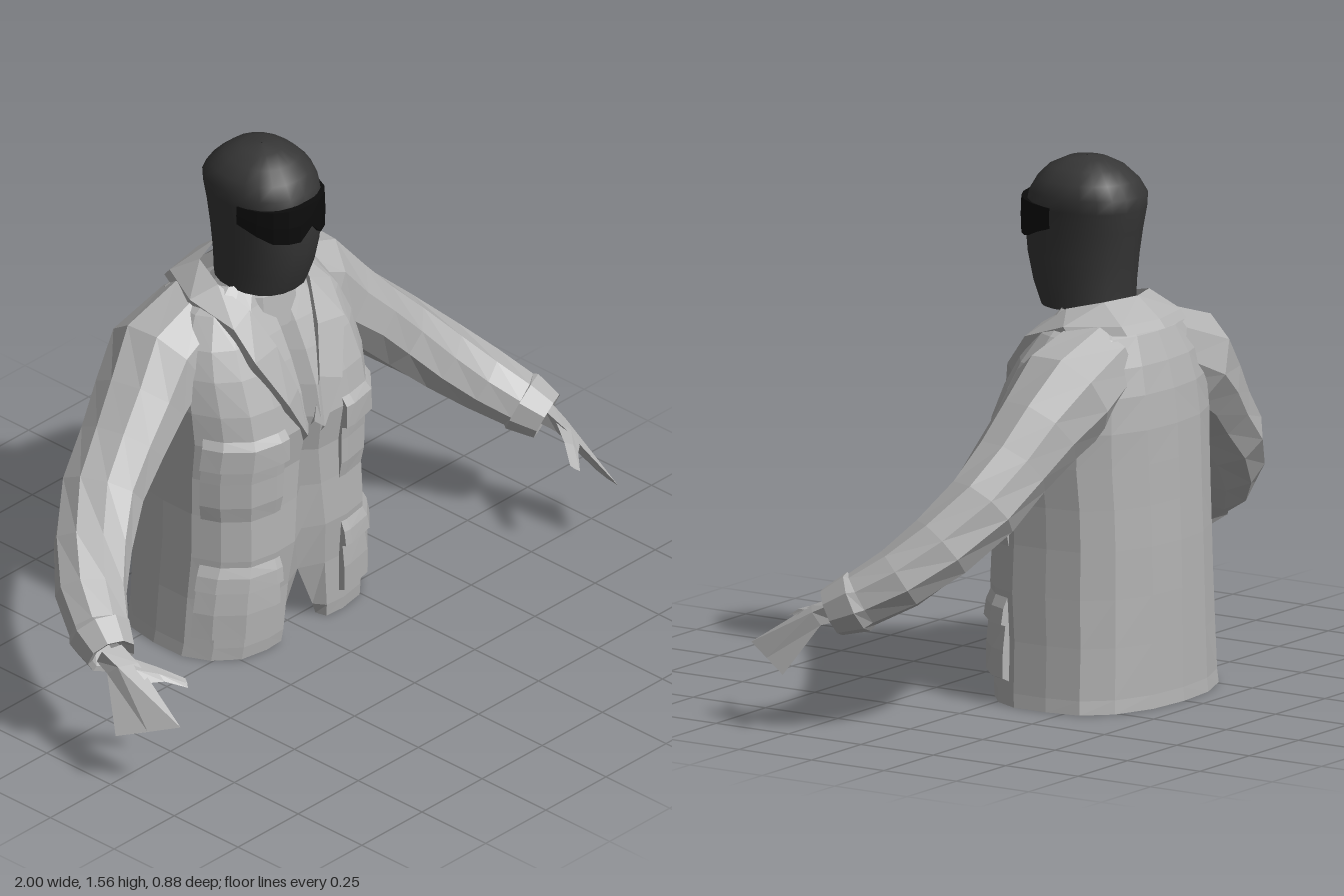
import * as THREE from 'three';

const jacketGrey = new THREE.MeshStandardMaterial({ color: 0xb2b2b2, flatShading: true, side: THREE.DoubleSide });
jacketGrey.name = 'jacketGrey';
const maskBlack = new THREE.MeshStandardMaterial({ color: 0x363636, side: THREE.DoubleSide });
maskBlack.name = 'maskCharcoal';
const lensBlack = new THREE.MeshStandardMaterial({ color: 0x0c0c0c, flatShading: true, side: THREE.DoubleSide });
lensBlack.name = 'lensBlack';

const lerp = THREE.MathUtils.lerp;

// Skin a list of equally long rows of [x, y, z] points; side -1 mirrors it in x.
function loft(rows, { closed = false, side = 1 } = {}) {
  const n = rows[0].length, index = [], pos = [];
  rows.forEach(r => r.forEach(p => pos.push(p[0] * side, p[1], p[2])));
  for (let i = 0; i < rows.length - 1; i++) {
    for (let j = 0; j < (closed ? n : n - 1); j++) {
      const k = (j + 1) % n;
      const a = i * n + j, b = i * n + k, c = (i + 1) * n + k, d = (i + 1) * n + j;
      if (side > 0) index.push(a, b, c, a, c, d);
      else index.push(a, c, b, a, d, c);
    }
  }
  const g = new THREE.BufferGeometry();
  g.setAttribute('position', new THREE.Float32BufferAttribute(pos, 3));
  g.setIndex(index);
  g.computeVertexNormals();
  return g;
}

// Interpolate a table whose first column is the key.
function sample(table, y) {
  let i = 0;
  while (i < table.length - 2 && y > table[i + 1][0]) i++;
  const a = table[i], b = table[i + 1];
  const t = THREE.MathUtils.clamp((y - a[0]) / (b[0] - a[0]), 0, 1);
  return a.map((v, k) => lerp(v, b[k], t));
}

// Torso: height, half width, front z, back z
const torso = [
  [0.01, 0.35, 0.065, -0.435], [0.05, 0.345, 0.07, -0.432], [0.2, 0.335, 0.075, -0.43],
  [0.34, 0.33, 0.09, -0.428], [0.48, 0.325, 0.085, -0.425], [0.6, 0.325, 0.085, -0.42],
  [0.72, 0.33, 0.105, -0.416], [0.82, 0.33, 0.085, -0.412], [0.92, 0.32, 0.045, -0.4],
  [1.0, 0.295, 0.005, -0.38], [1.08, 0.24, -0.045, -0.345], [1.14, 0.15, -0.075, -0.28],
];

// Half outline of the jacket at height y, from centre front to centre back
function outline(y) {
  const [, w, f, b] = sample(torso, y);
  const notch = 0.09 * Math.max(0, 1 - y / 0.2);
  const edge = lerp(0.095, 0.03, Math.min(1, y / 0.7));
  const at = t => lerp(f, b, t);
  return [
    [notch, y, f - 0.035], [edge, y, f], [0.45 * w, y, f + 0.004], [0.7 * w, y, f - 0.012], [0.89 * w, y, at(0.14)],
    [w, y, at(0.3)], [w, y, at(0.52)], [0.95 * w, y, at(0.73)], [0.75 * w, y, at(0.88)],
    [0.4 * w, y, at(0.975)], [0, y, b],
  ];
}

// Point on the outline at fractional index u, pushed outward
function onTorso(y, u, off) {
  const o = outline(y), i = Math.floor(u), t = u - i;
  const a = o[i], b = o[i + 1];
  const dx = b[0] - a[0], dz = b[2] - a[2], l = Math.hypot(dx, dz);
  return [lerp(a[0], b[0], t) - dz / l * off, y, lerp(a[2], b[2], t) + dx / l * off];
}

// Raised patch that follows the torso: rows are [height, offset], bottom to top
function patch(rows, us, side) {
  const grid = rows.map(([y, off]) => [
    onTorso(y, us[0], -0.008),
    ...us.map(u => onTorso(y, u, off)),
    onTorso(y, us[us.length - 1], -0.008),
  ]);
  return loft(grid, { side });
}

// Sleeve: centre x, y, z, then radius upward and sideways
const sleeve = [
  [0.13, 1.0, -0.22, 0.125, 0.13], [0.3, 0.925, -0.22, 0.15, 0.15], [0.4, 0.84, -0.2, 0.125, 0.135],
  [0.5, 0.75, -0.175, 0.108, 0.125], [0.61, 0.65, -0.15, 0.104, 0.118], [0.72, 0.545, -0.085, 0.098, 0.11],
  [0.81, 0.46, -0.005, 0.09, 0.1], [0.87, 0.4, 0.085, 0.08, 0.085], [0.878, 0.393, 0.095, 0.088, 0.09],
  [0.905, 0.36, 0.165, 0.07, 0.07], [0.902, 0.363, 0.16, 0.055, 0.055], [0.885, 0.385, 0.11, 0.03, 0.03],
];

function sleeveRings(sides) {
  const c = sleeve.map(p => new THREE.Vector3(p[0], p[1], p[2]));
  return sleeve.map((p, i) => {
    // the turned-in end keeps the direction of the cuff
    const k = Math.min(i, 8);
    const dir = c[Math.min(k + 1, 9)].clone().sub(c[Math.max(k - 1, 0)]).normalize();
    const up = new THREE.Vector3(0, 1, 0).addScaledVector(dir, -dir.y).normalize();
    const out = dir.clone().cross(up);
    return Array.from({ length: sides }, (_, j) => {
      const a = (j + 0.5) / sides * Math.PI * 2;
      return c[i].clone().addScaledVector(up, Math.cos(a) * p[3] * 1.05)
        .addScaledVector(out, Math.sin(a) * p[4] * 1.04).toArray();
    });
  });
}

// Collar and lapel edges from lapel tip round to the nape
const collarInner = [
  [0.012, 0.71, 0.095], [0.045, 0.84, 0.085], [0.085, 0.98, 0.04], [0.125, 1.09, -0.03],
  [0.15, 1.145, -0.13], [0.115, 1.17, -0.235], [0, 1.175, -0.275],
];
const collarOuter = [
  [0.035, 0.69, 0.115], [0.11, 0.82, 0.112], [0.185, 0.97, 0.05], [0.2, 1.06, -0.02],
  [0.225, 1.11, -0.17], [0.15, 1.115, -0.32], [0, 1.115, -0.35],
];
const lower = (p, d) => [p[0], p[1] - d, p[2] - d * 0.8];

// Head: height, half width, front z, back z
const head = [
  [1.13, 0.12, 0.03, -0.24], [1.2, 0.123, 0.06, -0.245], [1.28, 0.127, 0.08, -0.255], [1.36, 0.132, 0.088, -0.268],
  [1.42, 0.14, 0.082, -0.278], [1.46, 0.144, 0.07, -0.278], [1.5, 0.13, 0.045, -0.25],
  [1.535, 0.098, 0.01, -0.21], [1.558, 0.055, -0.04, -0.16], [1.565, 0.002, -0.098, -0.102],
];
function headPoint(y, a, grow = 0) {
  const [, w, f, b] = sample(head, y);
  const s = Math.sin(a), c = Math.cos(a);
  const round = v => Math.sign(v) * Math.abs(v) ** 0.88;
  return [round(s) * (w + grow), y, (f + b) / 2 + round(c) * ((f - b) / 2 + grow)];
}

// Wrap-around goggles with a nose notch
function goggles() {
  const rows = [[0, -0.006], [0, 0.014], [0.5, 0.016], [1, 0.014], [1, -0.006]];
  const cols = [-1.45, -1.1, -0.8, -0.5, -0.25, 0, 0.25, 0.5, 0.8, 1.1, 1.45];
  return loft(rows.map(([t, grow]) => cols.map(a => {
    const m = Math.abs(a);
    const bottom = m < 0.1 ? 1.37 : m < 0.9 ? 1.33 : 1.33 + (m - 0.8) * 0.06;
    const p = headPoint(1.4, a, grow);
    return [p[0] * 0.94, lerp(bottom, 1.445 - m * 0.012, t), p[2]];
  })));
}

// Flat mitten blade between two edges, thickened a little
function blade(edgeA, edgeB, thick) {
  const rows = edgeA.map((p, i) => {
    const q = edgeB[i], h = thick[i], mid = p.map((v, k) => (v + q[k]) / 2);
    return [p, [mid[0] + h, mid[1] + h * 0.6, mid[2]], q, [mid[0] - h, mid[1] - h * 0.6, mid[2]]];
  });
  return side => loft(rows, { closed: true, side });
}
const palm = blade(
  [[0.93, 0.34, 0.13], [0.94, 0.325, 0.18], [1.0, 0.18, 0.27]],
  [[0.88, 0.395, 0.18], [0.885, 0.365, 0.25], [0.91, 0.24, 0.44]], [0.03, 0.02, 0.002]);
const thumb = blade(
  [[0.885, 0.37, 0.22], [0.845, 0.35, 0.29], [0.8, 0.32, 0.355]],
  [[0.9, 0.325, 0.3], [0.86, 0.325, 0.33], [0.815, 0.305, 0.38]], [0.012, 0.009, 0.002]);

export function createModel() {
  const model = new THREE.Group();
  const add = (name, geometry, material) => {
    const mesh = new THREE.Mesh(geometry, material);
    mesh.name = name;
    model.add(mesh);
  };

  const pocketColumns = [1.75, 2, 3, 4, 4.7];
  for (const side of [1, -1]) {
    const label = side > 0 ? 'left' : 'right';
    const part = (name, geometry) => add(label + name, geometry, jacketGrey);
    part('JacketHalf', loft(torso.map(r => outline(r[0])), { side }));
    part('Sleeve', loft(sleeveRings(9), { closed: true, side }));
    part('CollarAndLapel', loft(
      [collarOuter.map(p => lower(p, 0.025)), collarOuter, collarInner, collarInner.map(p => lower(p, 0.04))], { side }));
    part('ChestPocketFlap', patch([[0.64, 0], [0.65, 0.026], [0.72, 0.014], [0.745, 0]], pocketColumns, side));
    part('ChestPocket', patch([[0.47, 0], [0.52, 0.01], [0.6, 0.012], [0.645, 0.008]], pocketColumns, side));
    part('LowerPocket', patch([[0.08, 0], [0.09, 0.022], [0.17, 0.022], [0.25, 0.01]], pocketColumns, side));
    part('LowerPocketFlap', patch([[0.235, 0], [0.245, 0.026], [0.29, 0.016], [0.32, 0]], pocketColumns, side));
    part('Hand', palm(side));
    part('Thumb', thumb(side));
  }

  // Shirt neckline inside the collar
  const ring = (y, w, f, b) => Array.from({ length: 12 }, (_, j) => {
    const a = j / 12 * Math.PI * 2;
    return [Math.sin(a) * w, y, (f + b) / 2 + Math.cos(a) * (f - b) / 2];
  });
  add('shirtNeck', loft([ring(1.0, 0.15, 0.0, -0.28), ring(1.1, 0.125, -0.02, -0.26), ring(1.14, 0.1, -0.04, -0.22)],
    { closed: true }), jacketGrey);

  // Masked head with a closed underside
  const heads = head.map(r => Array.from({ length: 20 }, (_, j) => headPoint(r[0], j / 20 * Math.PI * 2)));
  add('maskedHead', loft(heads, { closed: true }), maskBlack);
  add('maskUnderside', loft([heads[0].map(() => [0, 1.13, -0.1]), heads[0]], { closed: true }), maskBlack);
  add('goggles', goggles(), lensBlack);
  return model;
}
